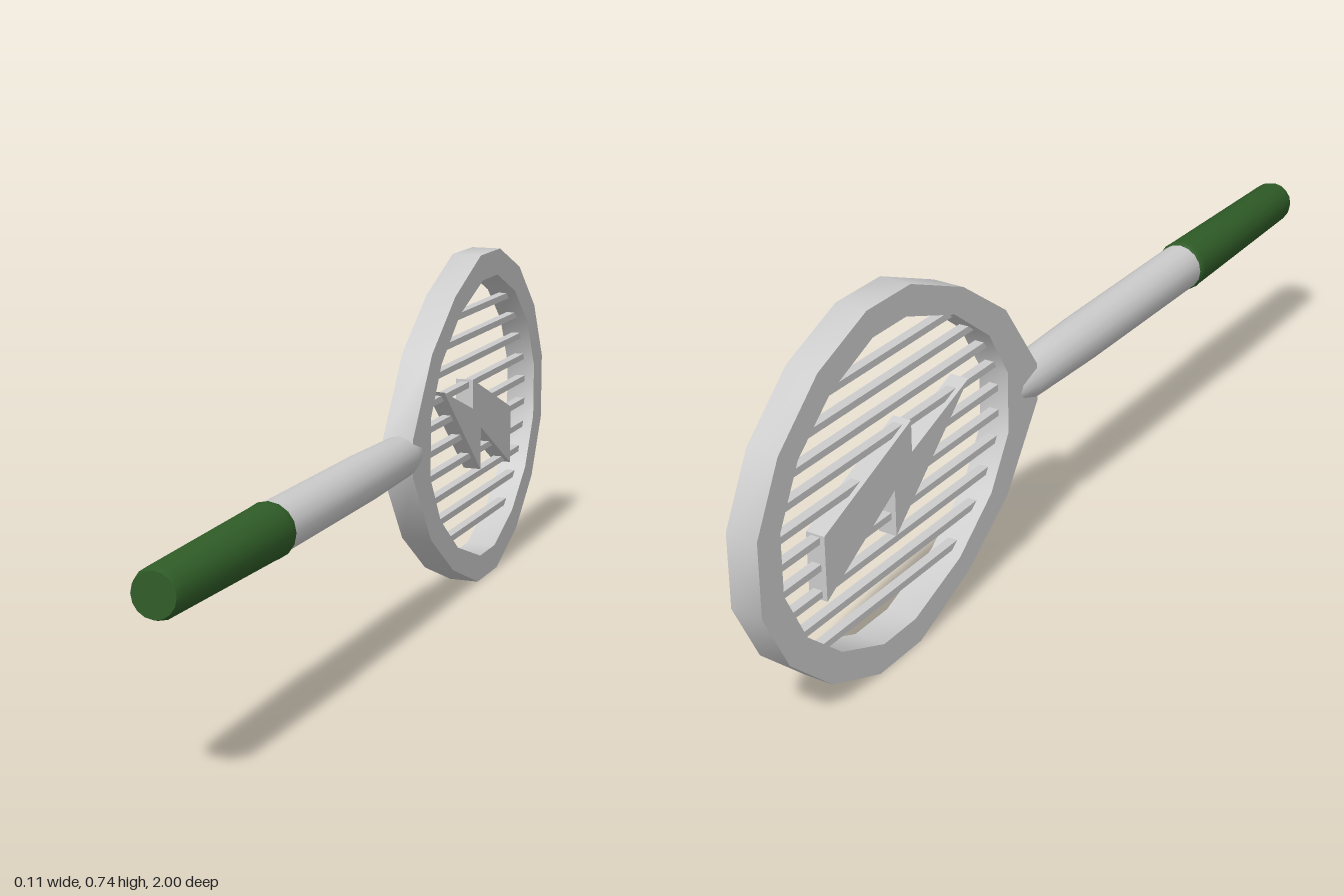
import * as THREE from 'three';
import { toCreasedNormals } from 'three/addons/utils/BufferGeometryUtils.js';

const MID = 0.371; // height of the handle axis
const grey = new THREE.MeshStandardMaterial({ color: 0xcccccc });
const green = new THREE.MeshStandardMaterial({ color: 0x2f5c27 });

export function createModel() {
  const model = new THREE.Group();

  const add = (name, geometry, material = grey) => {
    const mesh = new THREE.Mesh(geometry, material);
    mesh.name = name;
    model.add(mesh);
    return mesh;
  };

  // Flat side-on plate: outline of [distance towards the back, height], centred on x = 0
  const plate = (shape, thickness) => {
    const g = new THREE.ExtrudeGeometry(shape, { depth: thickness, bevelEnabled: false });
    g.translate(0, 0, -thickness / 2).rotateY(Math.PI / 2);
    return toCreasedNormals(g, 0.65);
  };
  const points = (list) => list.map(([u, v]) => new THREE.Vector2(u, v));
  // Upper half outline mirrored about the handle axis, running clockwise
  const mirrored = (half) => points([...half, ...half.map(([u, v]) => [u, -v]).reverse()]);

  // Round part along z from [radius, z] profile
  const turned = (profile) => {
    const g = new THREE.LatheGeometry(points(profile), 16);
    return toCreasedNormals(g.rotateX(Math.PI / 2), 0.65);
  };

  // Head frame: faceted hoop, pointed towards the handle; the hole runs the other way round
  const hoop = new THREE.Shape(mirrored([
    [0.115, 0.04], [0.227, 0.2], [0.37, 0.302], [0.537, 0.371],
    [0.67, 0.371], [0.815, 0.312], [0.933, 0.206], [1, 0.075],
  ]));
  hoop.holes.push(new THREE.Path(mirrored([
    [0.222, 0.065], [0.286, 0.17], [0.4, 0.258], [0.553, 0.314],
    [0.655, 0.314], [0.783, 0.26], [0.88, 0.176], [0.938, 0.062],
  ]).reverse()));
  add('headFrame', plate(hoop, 0.066)).position.y = MID;

  // Strings: square bars, ends buried in the frame
  for (let i = 0; i < 10; i++) {
    const dy = (i - 4.5) * 0.0545;
    const half = 0.385 * Math.sqrt(1 - (dy / 0.345) ** 2);
    const string = add('string', new THREE.BoxGeometry(0.02, 0.014, 2 * half));
    string.position.set(0, MID + dy, -0.585);
  }

  // Zigzag emblem plate on the strings
  add('boltPlate', plate(new THREE.Shape(points([
    [0.34, 0.47], [0.587, 0.25], [0.587, 0.347], [0.802, 0.222],
    [0.802, 0.355], [0.53, 0.465], [0.53, 0.4],
  ])), 0.04));

  // Shaft, its rounded end sunk into the frame
  add('shaft', turned([
    [0, -0.19], [0.028, -0.19], [0.036, -0.165], [0.045, -0.12],
    [0.05, 0.1], [0.051, 0.56], [0, 0.56],
  ])).position.y = MID;

  // Grip with a slight lip and a softened end
  add('grip', turned([
    [0, 0.535], [0.052, 0.535], [0.055, 0.541], [0.054, 0.555],
    [0.047, 0.985], [0.042, 1], [0, 1],
  ]), green).position.y = MID;

  return model;
}
